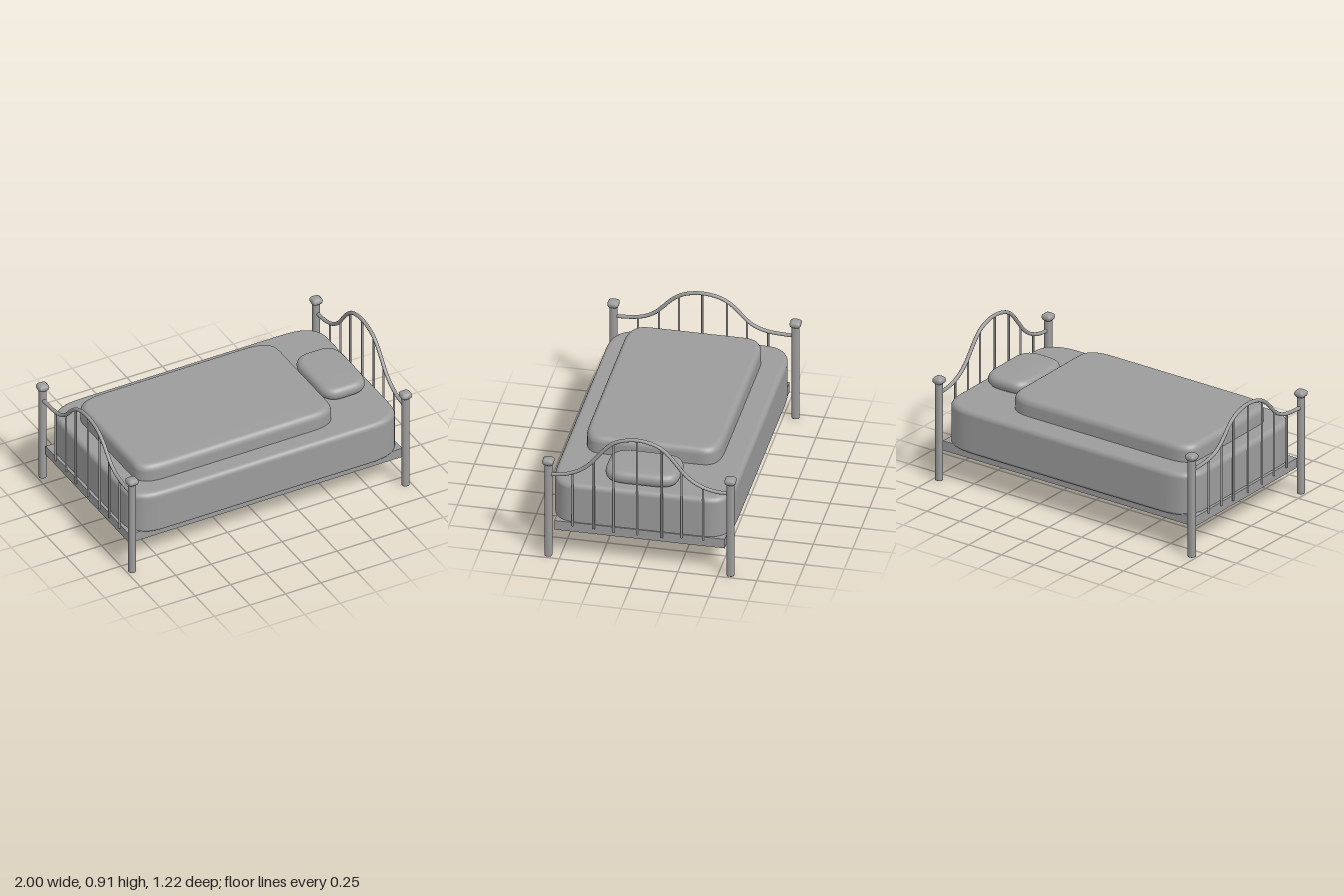
import * as THREE from 'three';

const material = new THREE.MeshStandardMaterial({ color: 0x9c9c9c });

function addMesh(parent, geometry, name) {
  const mesh = new THREE.Mesh(geometry, material);
  mesh.name = name;
  parent.add(mesh);
  return mesh;
}

// Signed power of cosine / sine, for superelliptic corners
const sp = (v, p) => Math.sign(v) * Math.pow(Math.abs(v), p);

// Soft cushion: rounded plan outline swept up a rounded edge profile.
// box = [x0, x1, y0, y1, z0, z1]; rx, rz plan corner sizes; edge = inset, eyTop / eyBottom = edge heights
function cushionGeometry([x0, x1, y0, y1, z0, z1], rx, rz, edge, eyTop, eyBottom, dome = 0) {
  const hx = (x1 - x0) / 2, hz = (z1 - z0) / 2, cx = (x0 + x1) / 2, cz = (z0 + z1) / 2;
  const steps = 8, corner = 10, rings = [];
  for (let i = 0; i <= steps; i++) {
    const a = (i / steps) * Math.PI / 2;
    rings.push([edge * (1 - Math.sin(a)), y0 + eyBottom * (1 - Math.cos(a))]);
  }
  for (let i = 0; i <= steps; i++) {
    const a = (i / steps) * Math.PI / 2;
    rings.push([edge * (1 - Math.cos(a)), y1 - dome - eyTop * (1 - Math.sin(a))]);
  }
  const count = 4 * (corner + 1), pos = [], index = [];
  pos.push(cx, y0, cz);
  for (const [inset, y] of rings) {
    for (let q = 0; q < 4; q++) {
      for (let k = 0; k <= corner; k++) {
        const a = (q + k / corner) * Math.PI / 2;
        const sx = q === 0 || q === 3 ? 1 : -1, sz = q < 2 ? 1 : -1;
        const c = Math.abs(Math.cos(a)), s = Math.abs(Math.sin(a));
        const px = hx - rx + rx * sp(c < 1e-6 ? 0 : c, 0.7);
        const pz = hz - rz + rz * sp(s < 1e-6 ? 0 : s, 0.7);
        pos.push(cx + sx * px * (1 - inset / hx), y, cz + sz * pz * (1 - inset / hz));
      }
    }
  }
  pos.push(cx, y1, cz);
  const last = pos.length / 3 - 1;
  for (let j = 0; j < count; j++) {
    const n = (j + 1) % count;
    index.push(0, 1 + j, 1 + n);
    for (let r = 0; r < rings.length - 1; r++) {
      const a = 1 + r * count + j, b = 1 + r * count + n;
      index.push(a, a + count, b, b, a + count, b + count);
    }
    const top = 1 + (rings.length - 1) * count;
    index.push(last, top + n, top + j);
  }
  const g = new THREE.BufferGeometry();
  g.setAttribute('position', new THREE.Float32BufferAttribute(pos, 3));
  g.setIndex(index);
  g.computeVertexNormals();
  return g;
}

// Lathe whose round section is pushed towards a square (power 1 = round)
function squaredLathe(points, power) {
  const g = new THREE.LatheGeometry(points.map(([r, y]) => new THREE.Vector2(r, y)), 24);
  const p = g.attributes.position;
  for (let i = 0; i < p.count; i++) {
    const x = p.getX(i), z = p.getZ(i), r = Math.hypot(x, z);
    if (r > 1e-6) p.setXYZ(i, r * sp(x / r, power), p.getY(i), r * sp(z / r, power));
  }
  g.computeVertexNormals();
  return g;
}

const POST_X = 0.964, POST_Z = 0.576, MID_Z = 0.014;

// Half of each arched rail: [distance from middle, height]
const headArch = [[0, 0.897], [0.09, 0.883], [0.15, 0.857], [0.2, 0.812], [0.25, 0.752],
  [0.3, 0.69], [0.36, 0.64], [0.43, 0.606], [0.5, 0.59], [0.57, 0.586]];
const footArch = [[0, 0.818], [0.09, 0.806], [0.15, 0.782], [0.2, 0.744], [0.25, 0.692],
  [0.3, 0.644], [0.36, 0.611], [0.43, 0.594], [0.5, 0.588], [0.57, 0.586]];

// Head or foot end: two posts, arched rail and spindles
function createEnd(name, side, arch) {
  const end = new THREE.Group();
  end.name = name;

  for (const s of [1, -1]) {
    const post = new THREE.Group();
    post.name = 'post';
    addMesh(post, squaredLathe([[0, 0], [0.024, 0], [0.024, 0.002], [0.024, 0.34], [0.024, 0.665]], 0.8), 'postShaft');
    addMesh(post, squaredLathe([[0, 0.655], [0.024, 0.656], [0.033, 0.665], [0.036, 0.678],
      [0.034, 0.689], [0.026, 0.697], [0.013, 0.7], [0, 0.701]], 0.5), 'postKnob');
    post.position.set(side * POST_X, 0, s * POST_Z);
    end.add(post);
  }

  const at = ([d, y], s) => new THREE.Vector3(side * 0.967, y, MID_Z + s * d);
  const points = [...arch.slice(1).reverse().map(p => at(p, -1)), ...arch.map(p => at(p, 1))];
  const curve = new THREE.CatmullRomCurve3(points);
  addMesh(end, new THREE.TubeGeometry(curve, 72, 0.012, 10), 'archedRail');

  // Spindles reach up to the rail height at their own z
  const samples = curve.getPoints(400);
  const spindles = [[0.422, 0.23], [0.288, 0.226], [0.163, 0.216], [0.015, 0.216],
    [-0.142, 0.216], [-0.267, 0.23], [-0.402, 0.23]];
  for (const [z, y0] of spindles) {
    const y1 = samples.reduce((a, b) => Math.abs(b.z - z) < Math.abs(a.z - z) ? b : a).y;
    const bar = addMesh(end, new THREE.CylinderGeometry(0.007, 0.007, y1 - y0, 10), 'spindle');
    bar.position.set(side * 0.967, (y0 + y1) / 2, z);
  }
  return end;
}

export function createModel() {
  const bed = new THREE.Group();
  bed.name = 'bed';

  // Flat base board
  const base = addMesh(bed, new THREE.BoxGeometry(1.924, 0.065, 1.078), 'baseBoard');
  base.position.y = 0.2175;

  // Bedding
  addMesh(bed, cushionGeometry([-0.943, 0.955, 0.228, 0.52, -0.568, 0.573], 0.26, 0.19, 0.03, 0.035, 0.025), 'mattress');
  addMesh(bed, cushionGeometry([-0.83, 0.556, 0.48, 0.636, -0.415, 0.446], 0.2, 0.13, 0.035, 0.045, 0.03, 0.004), 'duvet');
  addMesh(bed, cushionGeometry([0.588, 0.9, 0.518, 0.61, -0.219, 0.248], 0.13, 0.15, 0.038, 0.04, 0.045, 0.004), 'pillow');

  // Head end is taller than the foot end
  bed.add(createEnd('headboard', 1, headArch));
  bed.add(createEnd('footboard', -1, footArch));
  return bed;
}
